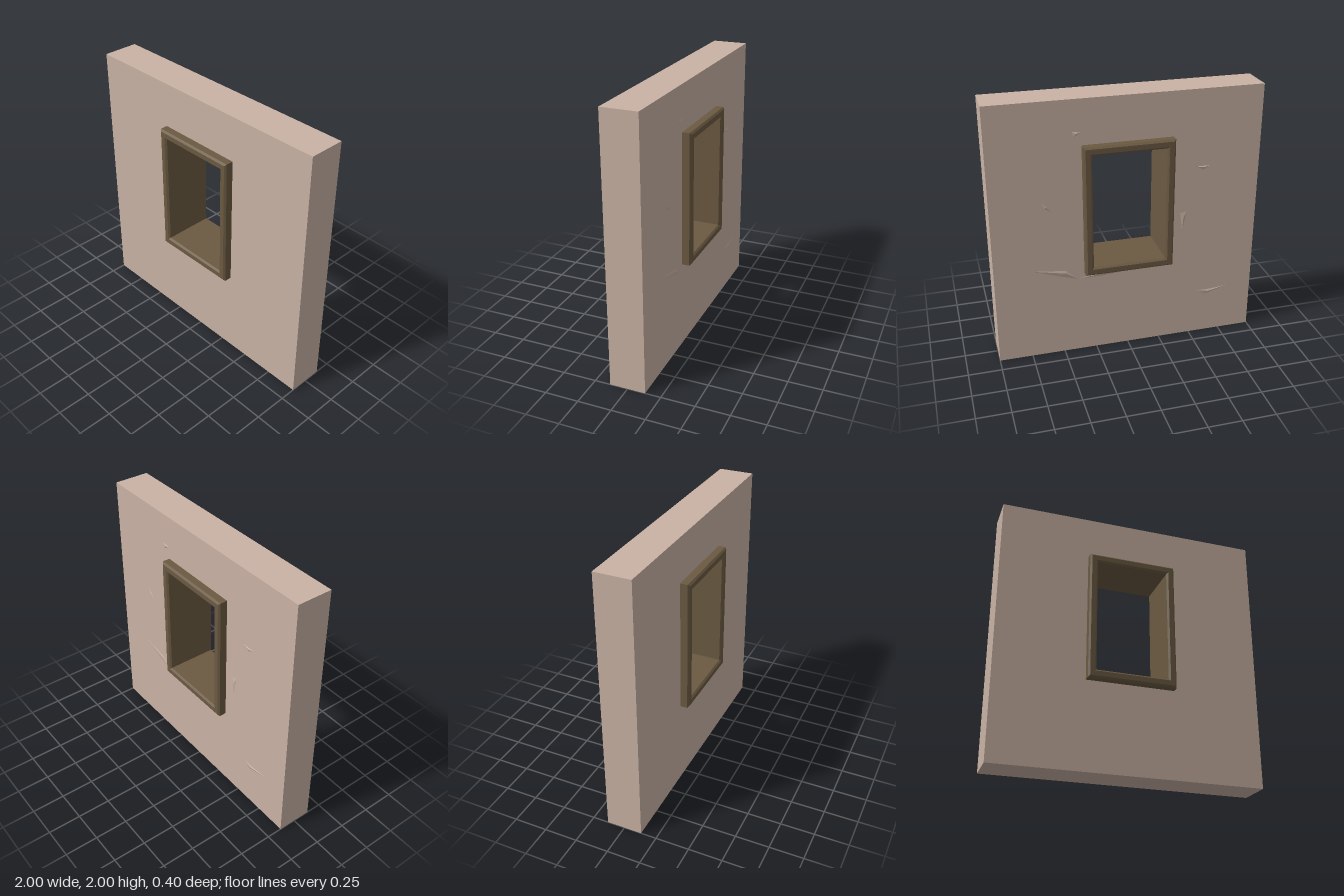
import * as THREE from 'three';

const MID_Y = 1.167; // centre height of the window
const WALL_Z = 0.133; // half thickness of the wall

const wallMat = new THREE.MeshStandardMaterial({ color: 0xc9b2a4, flatShading: true });
const chipMat = wallMat.clone();
chipMat.side = THREE.DoubleSide;
const frameMat = new THREE.MeshStandardMaterial({ color: 0x6b5a42, flatShading: true });

function rectPath(Type, cx, cy, hw, hh) {
  const p = new Type();
  p.moveTo(cx - hw, cy - hh);
  p.lineTo(cx + hw, cy - hh);
  p.lineTo(cx + hw, cy + hh);
  p.lineTo(cx - hw, cy + hh);
  p.closePath();
  return p;
}

// Rectangular ring, centred on z = 0; the bevel stays inside the given sizes
function ring(outer, inner, depth, bevel) {
  const shape = rectPath(THREE.Shape, 0, outer.y, outer.hw - bevel, outer.hh - bevel);
  shape.holes.push(rectPath(THREE.Path, 0, inner.y, inner.hw + bevel, inner.hh + bevel));
  const geo = new THREE.ExtrudeGeometry(shape, {
    depth: depth - 2 * bevel,
    bevelEnabled: bevel > 0,
    bevelSize: bevel,
    bevelThickness: bevel,
    bevelSegments: 1,
  });
  return geo.translate(0, 0, -depth / 2 + bevel);
}

// Shallow plaster chip: a fan of facets from the outline to a low peak
function chip(outline, peak) {
  const pos = [];
  outline.forEach(([x, y], i) => {
    const [nx, ny] = outline[(i + 1) % outline.length];
    pos.push(x, y, -WALL_Z, nx, ny, -WALL_Z, peak[0], peak[1], -WALL_Z - 0.006);
  });
  const geo = new THREE.BufferGeometry();
  geo.setAttribute('position', new THREE.Float32BufferAttribute(pos, 3));
  geo.computeVertexNormals();
  return new THREE.Mesh(geo, chipMat);
}

export function createModel() {
  const model = new THREE.Group();
  model.name = 'wallWithWindow';

  // Wall with window opening
  const wall = new THREE.Mesh(
    ring({ y: 1, hw: 1, hh: 1 }, { y: MID_Y, hw: 0.3, hh: 0.47 }, WALL_Z * 2, 0), wallMat);
  wall.name = 'wall';
  model.add(wall);

  // Bevelled frame running through the wall
  const frame = new THREE.Mesh(
    ring({ y: MID_Y, hw: 0.333, hh: 0.5 }, { y: MID_Y, hw: 0.273, hh: 0.437 }, 0.4, 0.013), frameMat);
  frame.name = 'windowFrame';
  model.add(frame);

  // Chips and cracks on the back of the wall
  const chips = new THREE.Group();
  chips.name = 'plasterChips';
  const chipData = [
    [[[0.4, 1.77], [0.33, 1.76], [0.39, 1.73]], [0.37, 1.755]],
    [[[0.63, 1.27], [0.59, 1.23], [0.56, 1.19], [0.61, 1.22]], [0.6, 1.23]],
    [[[0.72, 0.73], [0.47, 0.7], [0.38, 0.62], [0.52, 0.66]], [0.47, 0.68]],
    [[[0.38, 0.62], [0.2, 0.66], [-0.03, 0.64], [0.2, 0.62]], [0.2, 0.64]],
    [[[-0.51, 1.42], [-0.62, 1.42], [-0.57, 1.39]], [-0.57, 1.41]],
    [[[-0.4, 1.06], [-0.45, 1.07], [-0.42, 0.91]], [-0.425, 1.02]],
    [[[-0.56, 0.37], [-0.68, 0.37], [-0.82, 0.385], [-0.62, 0.33]], [-0.65, 0.355]],
  ];
  chipData.forEach(([outline, peak]) => chips.add(chip(outline, peak)));
  model.add(chips);

  return model;
}
